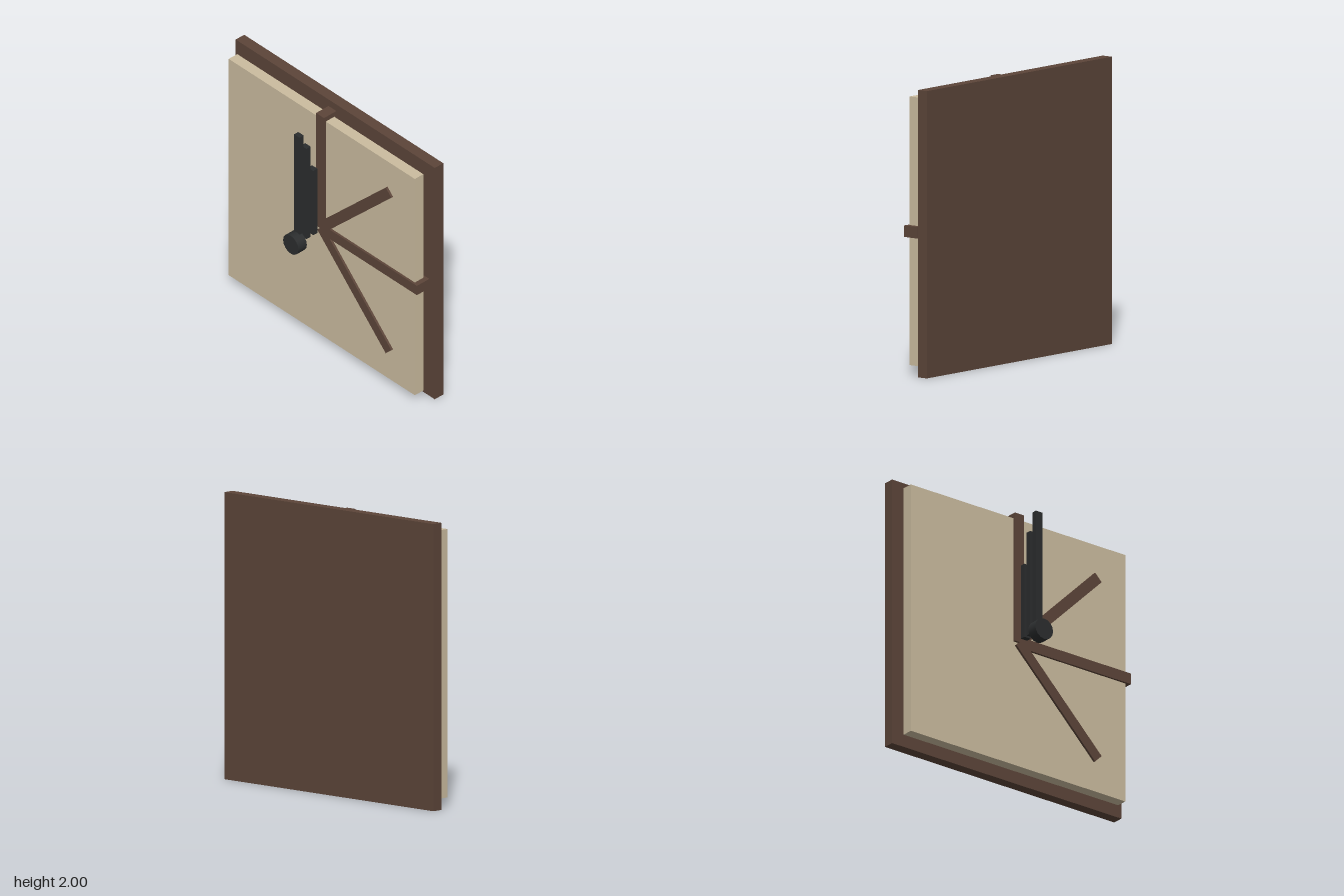
import * as THREE from 'three';

export function createModel() {
  const model = new THREE.Group();
  model.name = 'wallClock';

  const wood = new THREE.MeshStandardMaterial({ name: 'dark wood', color: 0x5c4539 });
  const cream = new THREE.MeshStandardMaterial({ name: 'cream face', color: 0xcbbc9f });
  const black = new THREE.MeshStandardMaterial({ name: 'charcoal', color: 0x2b2d2e });

  const add = (name, geometry, material, x, y, z) => {
    const mesh = new THREE.Mesh(geometry, material);
    mesh.name = name;
    mesh.position.set(x, y, z);
    model.add(mesh);
    return mesh;
  };

  // square back board and clock face
  add('backBoard', new THREE.BoxGeometry(2, 2, 0.08), wood, 0, 1, -0.21);
  add('clockFace', new THREE.BoxGeometry(1.87, 1.87, 0.08), cream, 0, 1, -0.083);

  // bars radiating from the centre
  const barGeometry = new THREE.BoxGeometry(0.08, 0.973, 0.117).translate(0, 0.4865, 0);
  for (let i = 0; i < 4; i++) {
    add('faceBar' + (i + 1), barGeometry, wood, 0, 1, -0.085).rotation.z = -i * Math.PI / 4;
  }

  // three stacked hands, all pointing up
  [
    ['shortHand', 0.555, 0.043],
    ['middleHand', 0.78, 0.108],
    ['longHand', 0.91, 0.173],
  ].forEach(([name, length, z]) => {
    add(name, new THREE.BoxGeometry(0.055, length, 0.039), black, 0, 1 + length / 2, z);
  });

  // centre hub
  const hub = new THREE.CylinderGeometry(0.077, 0.077, 0.08, 16).rotateX(Math.PI / 2);
  add('hub', hub, black, 0, 1, 0.21);

  return model;
}
